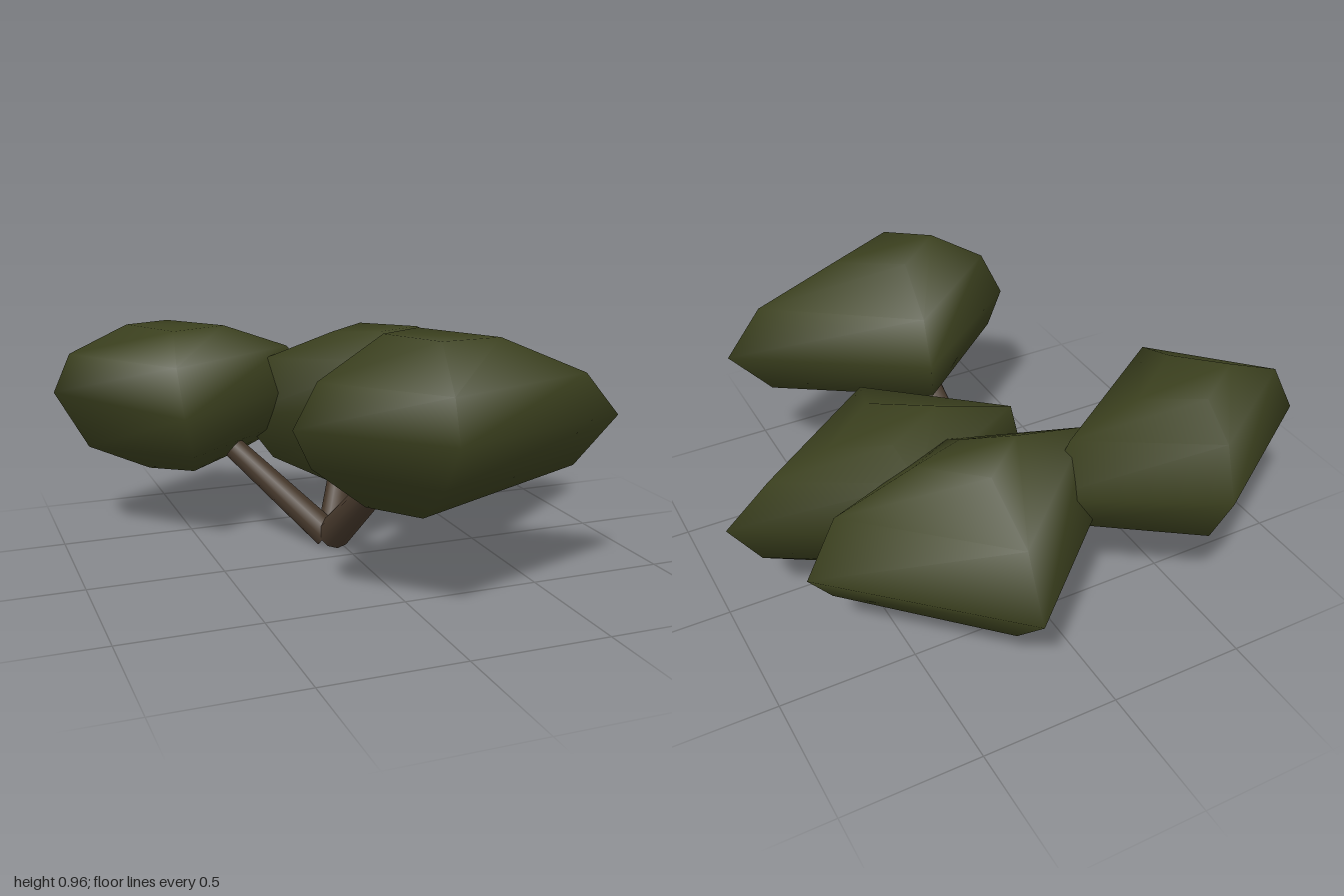
import * as THREE from 'three';

const foliage = new THREE.MeshStandardMaterial({ color: 0x3c411f });
foliage.name = 'foliage green';
const bark = new THREE.MeshStandardMaterial({ color: 0x47392c });
bark.name = 'bark brown';

// Four-cornered puffy clump.
// corners: widest level, in the order left, front, right, back, around the middle [x, z].
// below / above: rings as [y, width, centre x, centre z, slope along x, slope along z].
function leafClump(name, middle, corners, below, above) {
  const ring = ([y, w, cx, cz, sx, sz]) => corners.map(([x, , z]) => {
    const dx = (x - middle[0]) * w, dz = (z - middle[1]) * w;
    return [cx + dx, y + dx * sx + dz * sz, cz + dz];
  });
  const rings = [...below.map(ring), corners, ...above.map(ring)];
  const index = [];
  for (let r = 0; r < rings.length - 1; r++) {
    for (let j = 0; j < 4; j++) {
      const a = r * 4 + j, b = r * 4 + (j + 1) % 4;
      index.push(a, b, b + 4, a, b + 4, a + 4);
    }
  }
  // flat caps
  const t = (rings.length - 1) * 4;
  index.push(0, 2, 1, 0, 3, 2, t, t + 1, t + 2, t, t + 2, t + 3);
  const geo = new THREE.BufferGeometry();
  geo.setAttribute('position', new THREE.Float32BufferAttribute(rings.flat(2), 3));
  geo.setIndex(index);
  geo.computeVertexNormals();
  const mesh = new THREE.Mesh(geo, foliage);
  mesh.name = name;
  return mesh;
}

// Tapered straight branch between two points
function branch(name, from, to, r0, r1) {
  const a = new THREE.Vector3(...from), b = new THREE.Vector3(...to);
  const dir = b.clone().sub(a);
  const mesh = new THREE.Mesh(new THREE.CylinderGeometry(r1, r0, dir.length(), 10), bark);
  mesh.position.copy(a).add(b).multiplyScalar(0.5);
  mesh.quaternion.setFromUnitVectors(new THREE.Vector3(0, 1, 0), dir.normalize());
  mesh.name = name;
  return mesh;
}

export function createModel() {
  const tree = new THREE.Group();
  tree.name = 'spreadingTree';

  // Branches fan out from one foot
  tree.add(
    branch('frontBranch', [-0.03, 0.05, -0.12], [0, 0.47, 0.42], 0.064, 0.043),
    branch('rightBranch', [-0.05, 0.04, -0.14], [-0.355, 0.36, -0.36], 0.055, 0.042),
    branch('leftBranch', [-0.02, 0.04, -0.14], [0.16, 0.22, -0.15], 0.05, 0.042),
    branch('backBranch', [-0.03, 0.045, -0.15], [0.1, 0.32, -0.36], 0.055, 0.042)
  );

  // Leaf clumps
  tree.add(
    leafClump('frontLeaves', [0.145, 0.555],
      [[-0.42, 0.66, 0.57], [-0.02, 0.66, 0.945], [0.71, 0.63, 0.65], [0.09, 0.67, 0.17]],
      [[0.38, 0.36, 0.03, 0.56, 0, -0.1], [0.495, 0.81, 0.1, 0.55, -0.07, 0]],
      [[0.805, 0.81, 0.105, 0.6, -0.03, 0], [0.94, 0.35, 0.06, 0.615, -0.08, 0]]),
    leafClump('rightLeaves', [-0.475, -0.5],
      [[-1, 0.59, -0.55], [-0.6, 0.55, -0.11], [0.05, 0.55, -0.545], [-0.49, 0.57, -0.89]],
      [[0.285, 0.35, -0.47, -0.5, 0.1, 0], [0.39, 0.81, -0.455, -0.5, 0.05, 0]],
      [[0.73, 0.81, -0.515, -0.465, -0.03, 0], [0.825, 0.36, -0.53, -0.5, -0.07, 0]]),
    leafClump('backLeaves', [0.27, -0.6],
      [[-0.3, 0.46, -0.46], [0.25, 0.49, -0.25], [0.84, 0.44, -0.44], [0.26, 0.41, -0.95]],
      [[0.155, 0.33, 0.26, -0.46, 0, 0], [0.28, 0.81, 0.28, -0.52, 0, 0.1]],
      [[0.65, 0.81, 0.26, -0.54, -0.06, 0.1], [0.77, 0.32, 0.27, -0.5, 0, 0]]),
    leafClump('leftLeaves', [0.435, -0.05],
      [[-0.12, 0.46, -0.12], [0.4, 0.5, 0.325], [1, 0.48, -0.13], [0.47, 0.46, -0.42]],
      [[0.16, 0.34, 0.44, -0.08, 0.1, 0.1], [0.325, 0.81, 0.43, -0.06, -0.02, 0.06]],
      [[0.655, 0.81, 0.39, -0.1, 0, 0], [0.72, 0.37, 0.43, -0.12, -0.1, -0.05]])
  );
  return tree;
}
